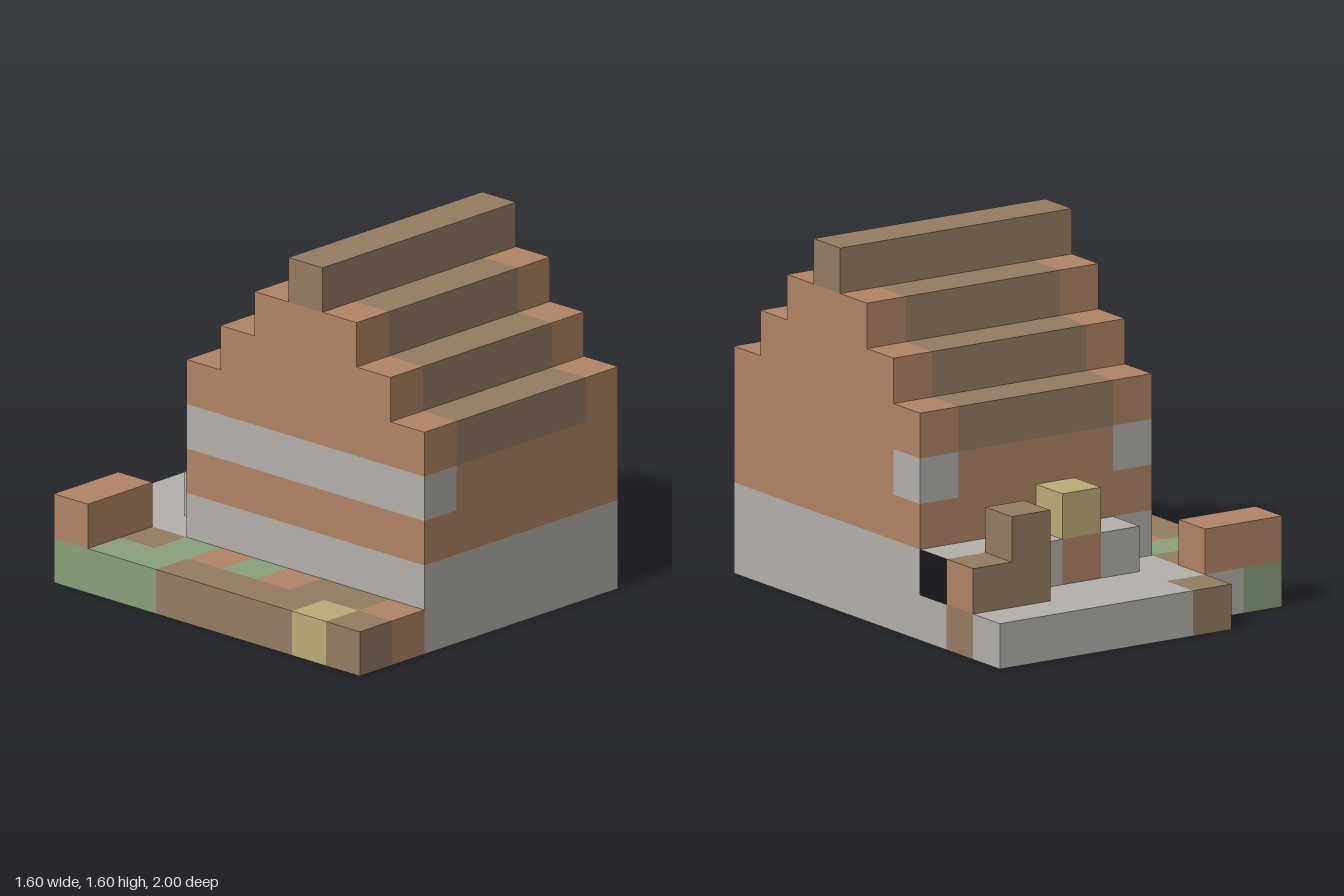
import * as THREE from 'three';
import { mergeGeometries } from 'three/addons/utils/BufferGeometryUtils.js';

const U = 0.2; // block size

const mat = (name, color) => {
  const m = new THREE.MeshStandardMaterial({ color, side: THREE.DoubleSide });
  m.name = name;
  return m;
};

// Outward directions with the rotation that turns a +z plane to face them
const FACES = [
  { d: [1, 0, 0], r: [0, Math.PI / 2, 0] },
  { d: [-1, 0, 0], r: [0, -Math.PI / 2, 0] },
  { d: [0, 1, 0], r: [-Math.PI / 2, 0, 0] },
  { d: [0, -1, 0], r: [Math.PI / 2, 0, 0] },
  { d: [0, 0, 1], r: [0, 0, 0] },
  { d: [0, 0, -1], r: [0, Math.PI, 0] },
];

export function createModel() {
  const mats = {
    stone: mat('stone grey', 0xb3b0ab),
    clay: mat('clay orange', 0xb08465),
    wood: mat('wood brown', 0x937b62),
    leaf: mat('leaf green', 0x88a07c),
    straw: mat('straw yellow', 0xbaab76),
  };

  // Block grid: i along x (0..7), j up (0..7), k along z (0..9)
  const blocks = new Map();
  const key = (i, j, k) => `${i},${j},${k}`;
  const fill = (part, [i0, i1], [j0, j1], [k0, k1], colour) => {
    for (let i = i0; i <= i1; i++)
      for (let j = j0; j <= j1; j++)
        for (let k = k0; k <= k1; k++) {
          const c = typeof colour === 'function' ? colour(i, j, k) : colour;
          blocks.set(key(i, j, k), { i, j, k, part, c });
        }
  };

  // House walls: stone base, clay above, one stone course on the side wall
  fill('houseWalls', [2, 7], [0, 3], [3, 9], (i, j, k) => {
    if (j < 2) return 'stone';
    return j === 3 && (i === 2 || (i === 7 && k === 3)) ? 'stone' : 'clay';
  });

  // Stepped roof with clay gables and a wooden ridge
  const roofColour = (i) => (i >= 3 && i <= 6 ? 'wood' : 'clay');
  for (let s = 0; s < 3; s++) fill('steppedRoof', [2, 7], [4 + s, 4 + s], [3 + s, 9 - s], roofColour);
  fill('roofRidge', [2, 7], [7, 7], [6, 6], 'wood');

  // Terrace behind the house
  fill('terrace', [2, 7], [0, 0], [0, 2], 'stone');
  fill('terrace', [2, 2], [0, 0], [0, 0], 'wood');
  fill('terrace', [7, 7], [0, 0], [1, 1], 'wood');

  // Ledge against the back wall, with a post
  fill('ledge', [3, 7], [1, 1], [2, 2], 'stone');
  fill('post', [4, 4], [1, 1], [2, 2], 'clay');
  fill('post', [4, 4], [2, 2], [2, 2], 'straw');

  // Wooden stack at the terrace corner
  fill('woodStack', [6, 6], [1, 2], [1, 1], 'wood');
  fill('woodStack', [7, 7], [1, 1], [1, 1], 'wood');

  // Garden strip along the side, from back (k = 1) to front (k = 9)
  const L = 'leaf', W = 'wood', C = 'clay', Y = 'straw';
  const outer = [L, L, L, W, W, W, W, Y, W];
  const inner = ['stone', W, L, C, L, C, W, W, C];
  outer.forEach((c, n) => fill('gardenStrip', [0, 0], [0, 0], [n + 1, n + 1], c));
  inner.forEach((c, n) => fill('gardenStrip', [1, 1], [0, 0], [n + 1, n + 1], c));
  fill('gardenBench', [0, 1], [1, 1], [1, 1], 'clay');

  // Collect exposed faces by part and colour; the underside stays open
  const parts = {};
  for (const { i, j, k, part, c } of blocks.values()) {
    FACES.forEach(({ d, r }, f) => {
      if (blocks.has(key(i + d[0], j + d[1], k + d[2]))) return;
      if (f === 3 && j === 0) return;
      if (f === 0 && part === 'ledge') return; // open end of the ledge
      const colour = f === 0 && part === 'woodStack' && i === 7 ? 'clay' : c;
      const g = new THREE.PlaneGeometry(U, U);
      g.rotateX(r[0]).rotateY(r[1]);
      g.translate(
        -0.8 + U * (i + 0.5 + d[0] / 2),
        U * (j + 0.5 + d[1] / 2),
        -1 + U * (k + 0.5 + d[2] / 2)
      );
      parts[part] ??= {};
      (parts[part][colour] ??= []).push(g);
    });
  }

  const model = new THREE.Group();
  model.name = 'blockHouse';
  for (const [part, colours] of Object.entries(parts)) {
    const group = new THREE.Group();
    group.name = part;
    for (const [colour, list] of Object.entries(colours)) {
      const mesh = new THREE.Mesh(mergeGeometries(list), mats[colour]);
      mesh.name = `${part} ${colour}`;
      group.add(mesh);
    }
    model.add(group);
  }
  return model;
}
